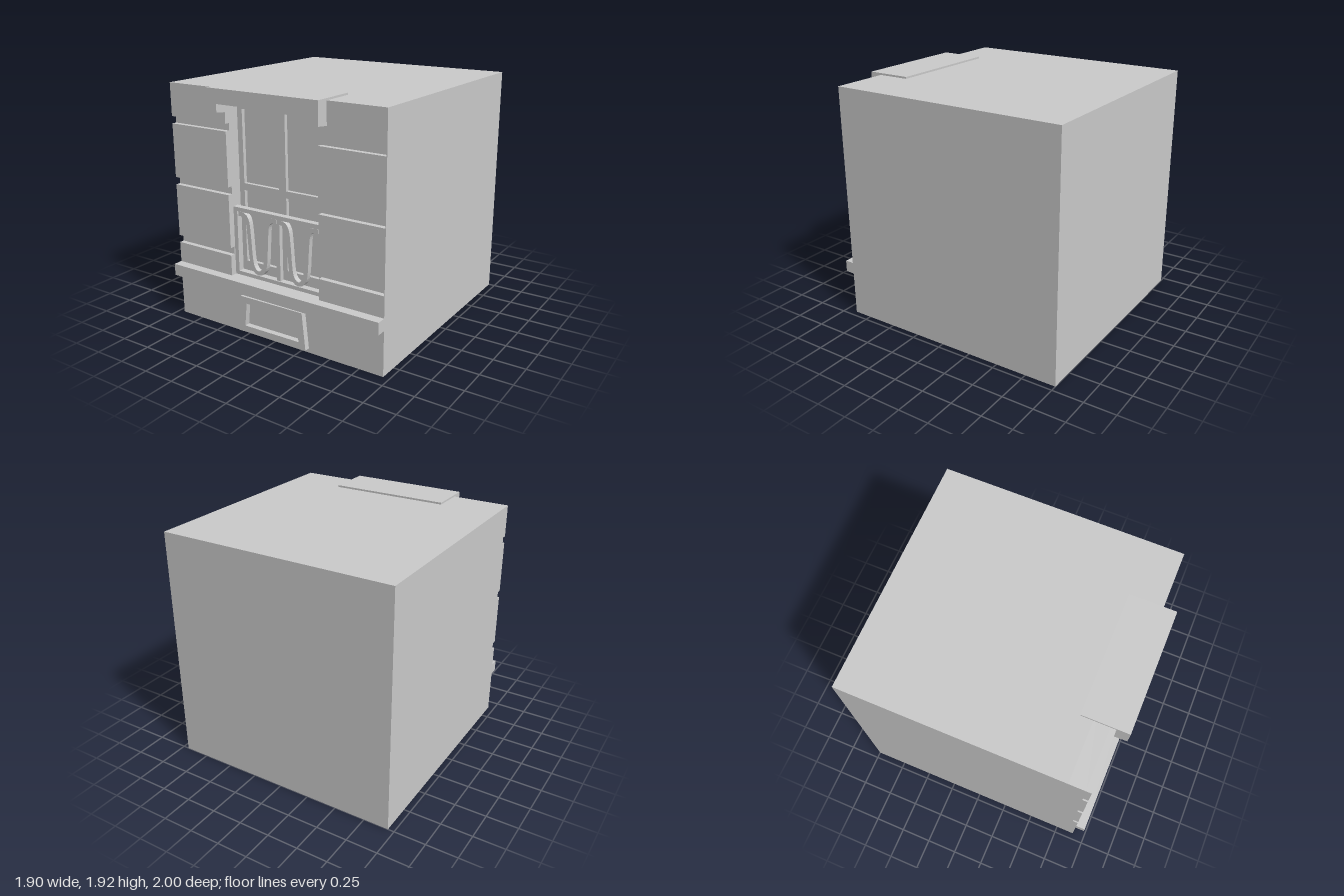
import * as THREE from 'three';

const material = new THREE.MeshStandardMaterial({ color: 0xcccccc, flatShading: true });

function add(parent, name, geometry) {
  const mesh = new THREE.Mesh(geometry, material);
  mesh.name = name;
  parent.add(mesh);
  return mesh;
}

// Box given by its limits on each axis
function block(parent, name, x0, x1, y0, y1, z0, z1) {
  const g = new THREE.BoxGeometry(x1 - x0, y1 - y0, z1 - z0);
  g.translate((x0 + x1) / 2, (y0 + y1) / 2, (z0 + z1) / 2);
  return add(parent, name, g);
}

const points = (list) => list.map(([x, y]) => new THREE.Vector2(x, y));
const rect = (x0, x1, y0, y1) => [[x0, y0], [x1, y0], [x1, y1], [x0, y1]];

// Flat outline with holes, extruded from z0 to z1
function panel(parent, name, outline, holes, z0, z1) {
  const shape = new THREE.Shape(points(outline));
  for (const hole of holes) shape.holes.push(new THREE.Path(points(hole)));
  const g = new THREE.ExtrudeGeometry(shape, { depth: z1 - z0, bevelEnabled: false });
  g.translate(0, 0, z0);
  return add(parent, name, g);
}

// Outline of a constant-width band along a curve
function bandOutline(path, width, steps) {
  const curve = new THREE.SplineCurve(points(path));
  const a = [], b = [];
  for (let i = 0; i <= steps; i++) {
    const p = curve.getPointAt(i / steps), t = curve.getTangentAt(i / steps);
    a.push([p.x - t.y * width / 2, p.y + t.x * width / 2]);
    b.unshift([p.x + t.y * width / 2, p.y - t.x * width / 2]);
  }
  return a.concat(b);
}

// Profile in (z, y) extruded across x
function crossBar(parent, name, profile, x0, x1) {
  const shape = new THREE.Shape(points(profile.map(([z, y]) => [-z, y])));
  const g = new THREE.ExtrudeGeometry(shape, { depth: x1 - x0, bevelEnabled: false });
  g.rotateY(Math.PI / 2);
  g.translate(x0, 0, 0);
  return add(parent, name, g);
}

export function createModel() {
  const model = new THREE.Group();
  model.name = 'windowBlock';
  const W = 0.95, H = 1.905, FRONT = 0.9, GROOVE = 0.86, GLASS = 0.735, JAMB = 0.41;

  // Main mass and wall base
  block(model, 'body', -W, W, 0, H, -1, GLASS);
  block(model, 'wallBase', -W, W, 0, 0.45, GLASS, FRONT);

  // Wall beside and above the opening, with stone courses split by grooves
  const wall = new THREE.Group();
  wall.name = 'wall';
  model.add(wall);
  const courses = [[0.45, 0.615], [0.675, 1.1], [1.16, 1.588], [1.645, H]];
  for (const s of [-1, 1]) {
    const x0 = s < 0 ? -W : JAMB, x1 = s < 0 ? -JAMB : W;
    block(wall, 'wallBacking', x0, x1, 0.45, H, GLASS, GROOVE);
    for (const [y0, y1] of courses) block(wall, 'stoneCourse', x0, x1, y0, y1, GROOVE, FRONT);
  }
  block(wall, 'wallAbove', -JAMB, JAMB, 1.785, H, GLASS, FRONT);
  block(wall, 'sideFace', W - 0.004, W, 0.45, H, GROOVE, FRONT);

  // Window frame with four panes
  panel(model, 'windowFrame', rect(-JAMB, JAMB, 0.45, 1.79), [
    rect(-0.365, -0.035, 1.17, 1.74), rect(0.03, 0.36, 1.17, 1.74),
    rect(-0.365, -0.035, 0.54, 1.115), rect(0.03, 0.36, 0.54, 1.115),
  ], GLASS, 0.765);

  // Balcony railing with two looped bands
  const railing = new THREE.Group();
  railing.name = 'railing';
  model.add(railing);
  panel(railing, 'railingFrame', rect(-JAMB, JAMB, 0.45, 1.0),
    [rect(-0.375, 0.375, 0.48, 0.968)], 0.8, 0.85);
  block(railing, 'railingPost', -0.018, 0.018, 0.48, 0.968, 0.805, 0.84);
  const half = [[-0.18, 0.948], [-0.125, 0.943], [-0.095, 0.9], [-0.083, 0.8], [-0.068, 0.6], [-0.045, 0.525]];
  const loop = [...half, [0, 0.497], ...half.map(([x, y]) => [-x, y]).reverse()];
  for (const cx of [-0.187, 0.187]) {
    const path = loop.map(([x, y]) => [x + cx, y]);
    panel(railing, 'railingLoop', bandOutline(path, 0.035, 48), [], 0.805, 0.845);
  }

  // Sill running across the whole front
  block(model, 'sill', -W, W, 0.355, 0.45, 0.85, 0.975);

  // Tapered panel under the sill
  panel(model, 'basePanel',
    [[-0.32, 0.03], [0.315, 0.035], [0.285, 0.33], [-0.29, 0.325]],
    [[[-0.255, 0.083], [0.253, 0.088], [0.232, 0.277], [-0.235, 0.273]]], 0.89, 0.945);

  // Lintel: cap slab, sloped beam and two end brackets
  const lintel = new THREE.Group();
  lintel.name = 'lintel';
  model.add(lintel);
  block(lintel, 'lintelCap', -0.485, 0.485, 1.895, 1.92, 0.64, 1);
  crossBar(lintel, 'lintelBeam', [[0.74, 1.783], [1, 1.808], [1, 1.92], [0.74, 1.92]], -0.4, 0.4);
  for (const x of [-0.485, 0.4]) {
    crossBar(lintel, 'lintelBracket', [[0.87, 1.73], [1, 1.745], [1, 1.92], [0.87, 1.92]], x, x + 0.085);
  }
  return model;
}
